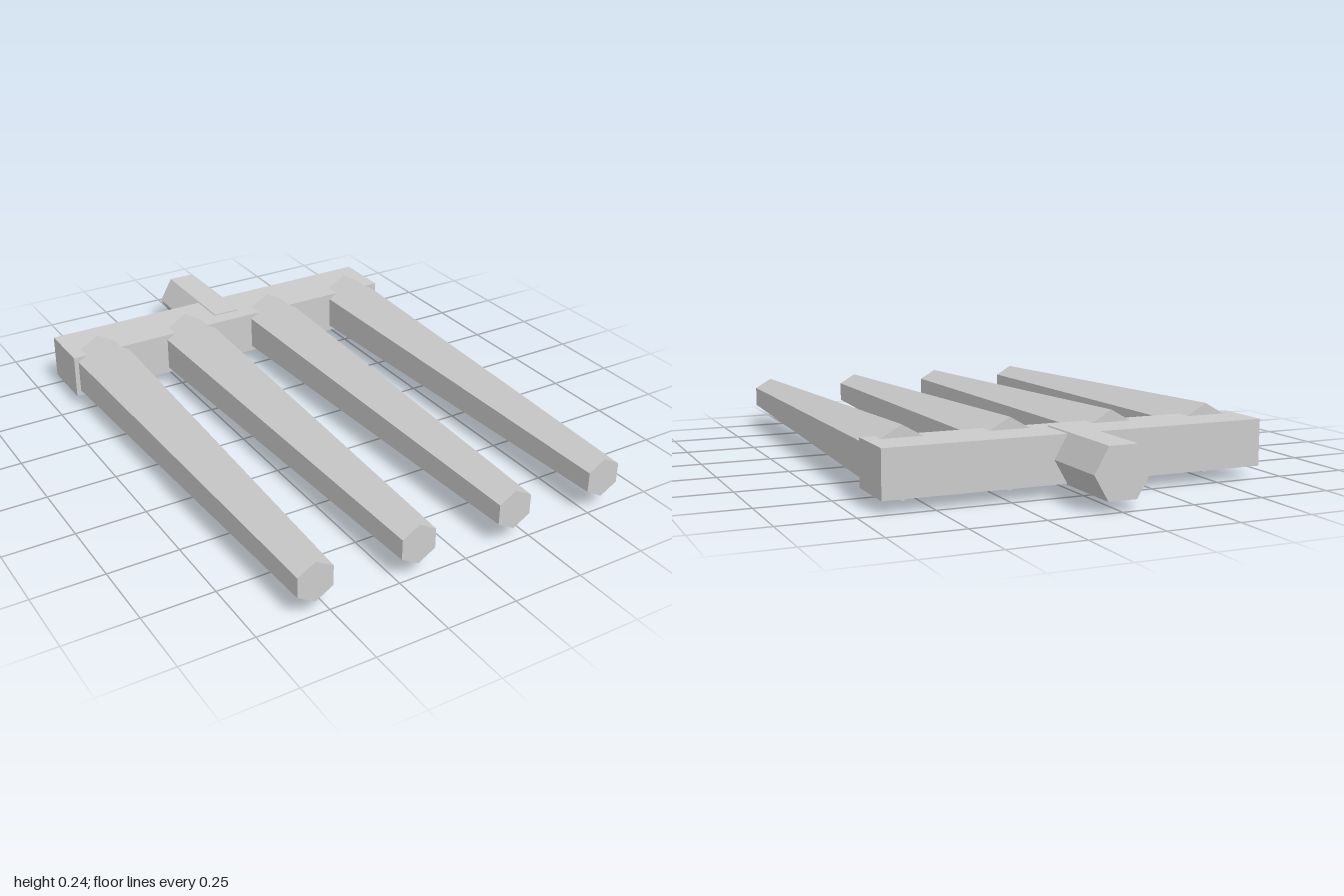
import * as THREE from 'three';

const material = new THREE.MeshStandardMaterial({ color: 0xcccccc, flatShading: true });
const AXIS_Y = 0.123;

// Six-sided bar along z, from zBack to zFront; turn spins it about its own axis
function hexBar(name, rFront, rBack, zFront, zBack, x, turn = 0) {
  const geometry = new THREE.CylinderGeometry(rFront, rBack, zFront - zBack, 6);
  geometry.rotateY(turn);
  geometry.rotateX(Math.PI / 2);
  const mesh = new THREE.Mesh(geometry, material);
  mesh.name = name;
  mesh.position.set(x, AXIS_Y, (zFront + zBack) / 2);
  return mesh;
}

export function createModel() {
  const group = new THREE.Group();
  group.name = 'forkHead';

  // Crossbar
  const crossbar = new THREE.Mesh(new THREE.BoxGeometry(1.34, 0.16, 0.204), material);
  crossbar.name = 'crossbar';
  crossbar.position.set(0, AXIS_Y, -0.637);
  group.add(crossbar);

  // Handle stub, flat side up
  group.add(hexBar('handle', 0.098, 0.098, -0.595, -1, 0, Math.PI / 6));

  // Four tapered tines, edge up
  [-0.55, -0.184, 0.184, 0.55].forEach((x, i) => {
    group.add(hexBar(`tine${i + 1}`, 0.071, 0.121, 1, -0.593, x));
  });

  // Rest the lowest edge of the tines on the ground
  group.position.y = 0.121 - AXIS_Y;
  return group;
}
